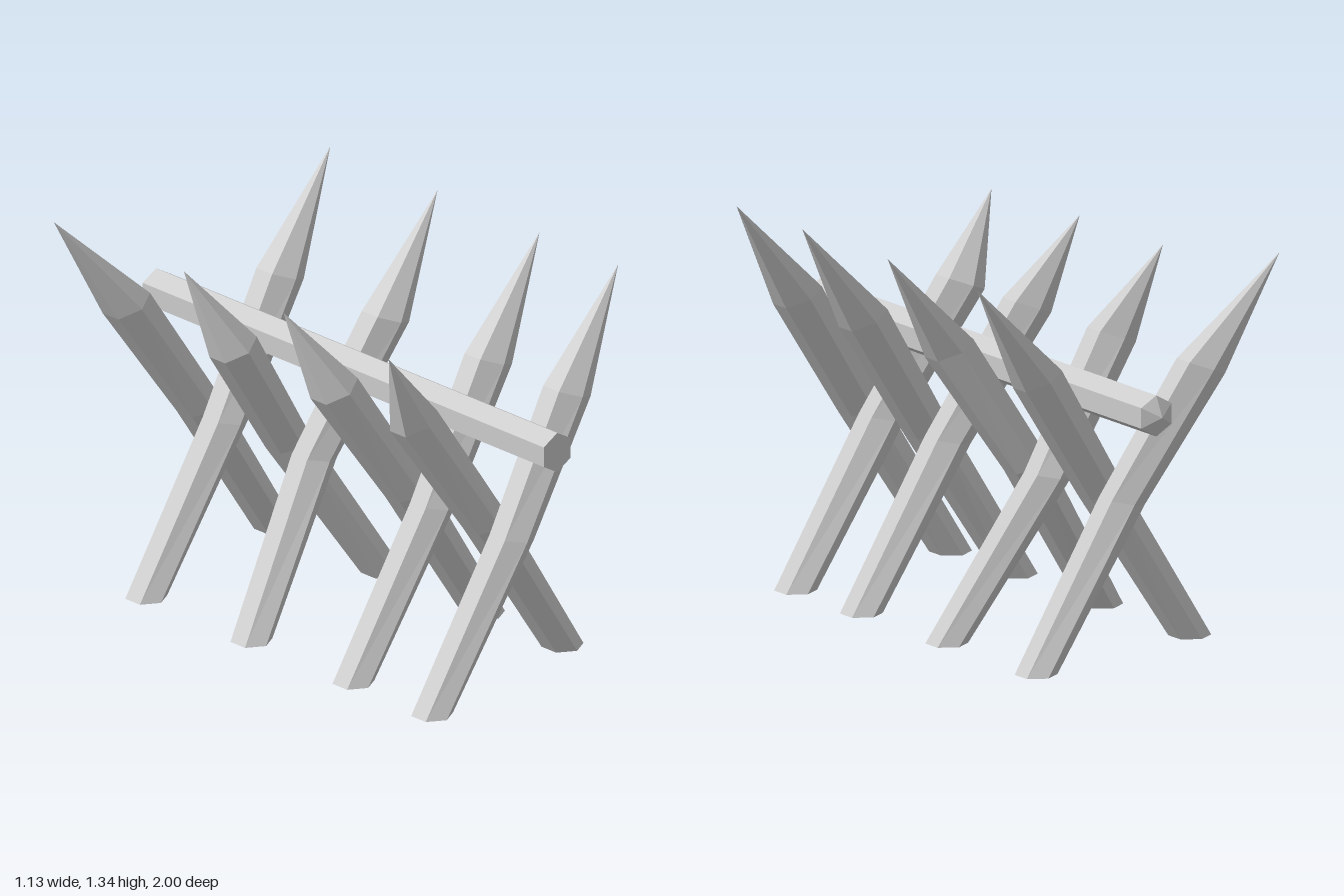
import * as THREE from 'three';

const material = new THREE.MeshStandardMaterial({ color: 0xcccccc, flatShading: true });

// Six-sided timber lofted through rings, flat at the start and pointed at the end
function timber(name, rings, tip) {
  const pos = [];
  const tri = (...points) => points.forEach(p => pos.push(p.x, p.y, p.z));
  const last = rings.length - 1;
  for (let i = 0; i < 6; i++) {
    const j = (i + 1) % 6;
    for (let k = 0; k < last; k++) {
      const a = rings[k], b = rings[k + 1];
      tri(a[i], a[j], b[j]);
      tri(a[i], b[j], b[i]);
    }
    tri(rings[last][i], rings[last][j], tip);
    if (i > 0 && i < 5) tri(rings[0][0], rings[0][j], rings[0][i]);
  }
  const geometry = new THREE.BufferGeometry();
  geometry.setAttribute('position', new THREE.Float32BufferAttribute(pos, 3));
  geometry.computeVertexNormals();
  const mesh = new THREE.Mesh(geometry, material);
  mesh.name = name;
  return mesh;
}

// Six corners, the first one at a quarter turn; place() puts each (u, v) in space
function hexagon(radius, place) {
  return Array.from({ length: 6 }, (_, i) => {
    const angle = Math.PI / 2 + i * Math.PI / 3;
    return place(radius * Math.cos(angle), radius * Math.sin(angle));
  });
}

// Leaning stake; side is +1 when it leans to +x, zs are base, middle and shoulder depths
function stake(name, side, zs, tip) {
  const sections = [
    // x, y, radius, tilt of the section
    [-0.366, 0, 0.072, 0],
    [-0.01, 0.545, 0.075, 0.22],
    [0.277, 0.98, 0.077, 0.42],
  ];
  const rings = sections.map(([x, y, radius, tilt], k) =>
    hexagon(radius, (u, v) => new THREE.Vector3(
      side * x + u * (1 + tilt * 0.2), y - side * u * tilt, zs[k] - v)));
  return timber(name, rings, new THREE.Vector3(...tip));
}

export function createModel() {
  const group = new THREE.Group();
  group.name = 'spikedBarricade';

  // Stakes leaning to the left
  [
    [0.815, 0.825, 0.787, 0.73],
    [0.43, 0.437, 0.402, 0.345],
    [-0.07, -0.143, -0.102, -0.155],
    [-0.585, -0.58, -0.618, -0.68],
  ].forEach((z, i) => group.add(stake(`leftStake${i + 1}`, 1, z, [0.565, 1.34, z[3]])));

  // Stakes leaning to the right, with uneven tips
  [
    [[0.67, 0.677, 0.63], [-0.44, 1.265, 0.682]],
    [[0.285, 0.292, 0.24], [-0.445, 1.28, 0.172]],
    [[-0.215, -0.293, -0.255], [-0.44, 1.28, -0.322]],
    [[-0.738, -0.728, -0.778], [-0.565, 1.34, -0.825]],
  ].forEach(([z, tip], i) => group.add(stake(`rightStake${i + 1}`, -1, z, tip)));

  // Rail resting in the crossings, pointed at the back
  const rings = [1, -0.965].map(z =>
    hexagon(0.071, (u, v) => new THREE.Vector3(0.034 + u, 0.89 - v, z)));
  group.add(timber('rail', rings, new THREE.Vector3(0.034, 0.89, -1)));

  return group;
}
